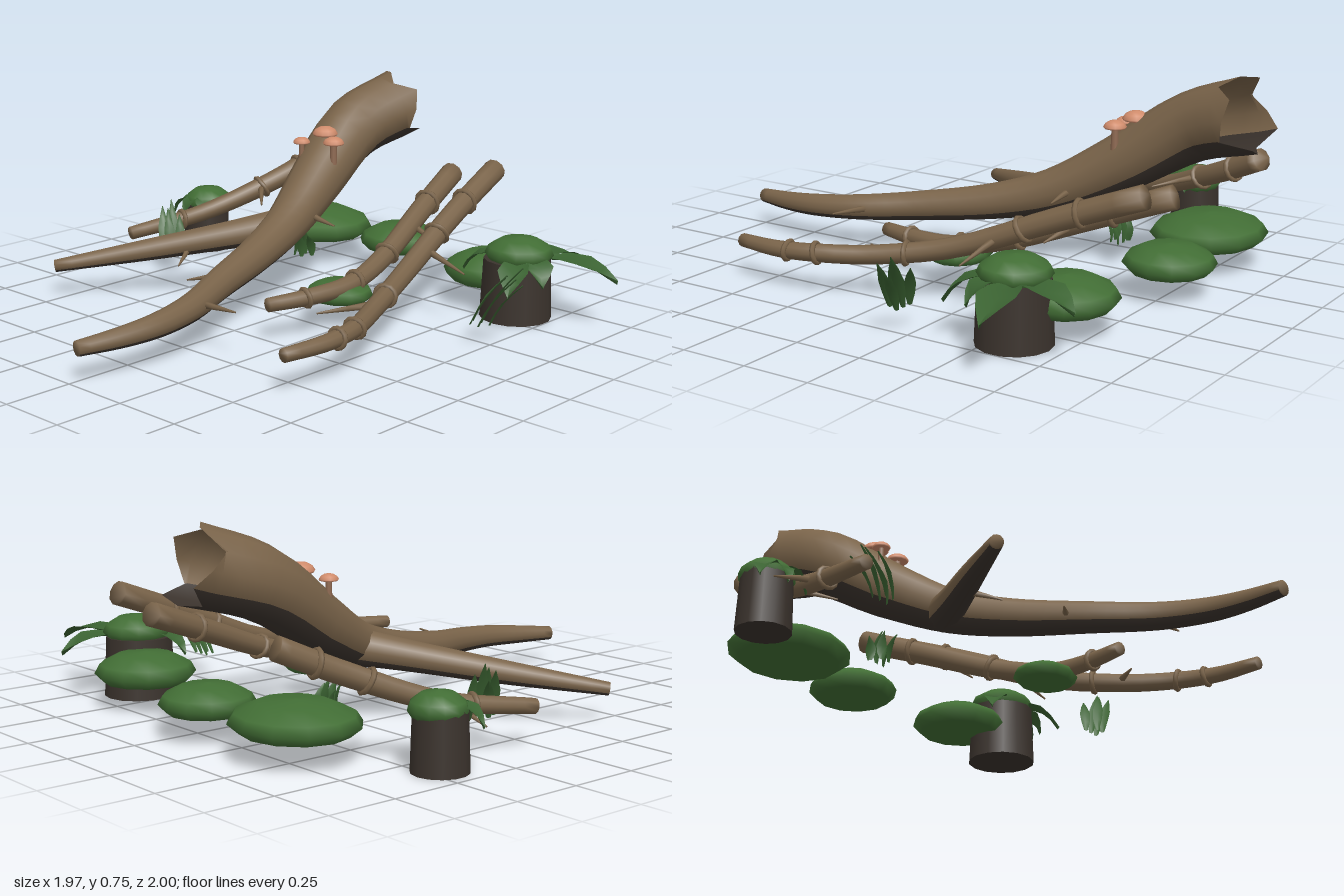
import * as THREE from 'three';

const mat = (name, color, side = THREE.FrontSide) => {
  const m = new THREE.MeshStandardMaterial({ color, side });
  m.name = name;
  return m;
};
const V = (a) => new THREE.Vector3(a[0], a[1], a[2]);

// Tapered tube through [x, y, z, radius] points; group 1 holds the underside, cut offsets the first ring
function taper(points, { rows = 24, sides = 12, cut = null, under = false, capStart = true } = {}) {
  const curve = new THREE.CatmullRomCurve3(points.map(V), false, 'centripetal');
  const radii = new THREE.CatmullRomCurve3(points.map((p, i) => new THREE.Vector3(i, p[3], 0)));
  const pos = [], top = [], low = [];
  const up = new THREE.Vector3(0, 1, 0);
  for (let i = 0; i <= rows; i++) {
    const t = i / rows, c = curve.getPoint(t), d = curve.getTangent(t);
    const r = radii.getPoint(t).y;
    const side = new THREE.Vector3().crossVectors(d, up).normalize();
    const lift = new THREE.Vector3().crossVectors(side, d);
    for (let j = 0; j < sides; j++) {
      const a = (j / sides) * Math.PI * 2;
      const p = c.clone().addScaledVector(side, Math.cos(a) * r).addScaledVector(lift, Math.sin(a) * r);
      if (cut && i === 0) p.addScaledVector(d, cut[j % cut.length]);
      pos.push(p.x, p.y, p.z);
    }
  }
  for (let i = 0; i < rows; i++) for (let j = 0; j < sides; j++) {
    const k = (j + 1) % sides, a = i * sides + j, b = i * sides + k, c = a + sides, d = b + sides;
    const dark = under && Math.sin(((j + 0.5) / sides) * Math.PI * 2) < -0.4;
    (dark ? low : top).push(a, b, c, b, d, c);
  }
  // End caps
  for (let j = 1; j < sides - 1; j++) {
    const e = rows * sides;
    top.push(e, e + j, e + j + 1);
    if (capStart) top.push(0, j + 1, j);
  }
  const g = new THREE.BufferGeometry();
  g.setAttribute('position', new THREE.Float32BufferAttribute(pos, 3));
  g.setIndex([...top, ...low]);
  g.addGroup(0, top.length, 0);
  g.addGroup(top.length, low.length, 1);
  g.computeVertexNormals();
  return { geometry: g, curve, radii };
}

// Pointed folded leaf from base to tip, arched upward in the middle
function leafGeometry(base, tip, width, arch) {
  const a = V(base), b = V(tip), dir = b.clone().sub(a).normalize();
  const side = new THREE.Vector3().crossVectors(dir, new THREE.Vector3(0, 1, 0));
  if (side.length() < 0.1) side.set(1, 0, 0);
  side.normalize();
  const lift = new THREE.Vector3().crossVectors(side, dir).normalize();
  const widths = [0.4, 0.85, 1, 0.6, 0.02], pos = [], idx = [];
  widths.forEach((w, i) => {
    const t = i / (widths.length - 1);
    const c = a.clone().lerp(b, t).addScaledVector(lift, arch * Math.sin(t * Math.PI));
    for (const s of [-1, 0, 1]) {
      const p = c.clone().addScaledVector(side, (s * w * width) / 2).addScaledVector(lift, s ? 0 : -0.12 * width);
      pos.push(p.x, p.y, p.z);
    }
    if (i) for (const s of [0, 1]) {
      const q = (i - 1) * 3 + s;
      idx.push(q, q + 1, q + 3, q + 1, q + 4, q + 3);
    }
  });
  const g = new THREE.BufferGeometry();
  g.setAttribute('position', new THREE.Float32BufferAttribute(pos, 3));
  g.setIndex(idx);
  g.computeVertexNormals();
  return g;
}

export function createModel() {
  const root = new THREE.Group();
  const bark = mat('bark', 0x7a644a, THREE.DoubleSide);
  const dark = mat('dark bark', 0x3b332d, THREE.DoubleSide);
  const green = mat('moss green', 0x426e35);
  const leaf = mat('leaf green', 0x3b6332, THREE.DoubleSide);
  const cap = mat('mushroom cap', 0xd08c6c);
  const stem = mat('mushroom stem', 0x8f6a52);
  const add = (name, geo, material, parent = root) => {
    const m = new THREE.Mesh(geo, material);
    m.name = name;
    parent.add(m);
    return m;
  };

  // Fallen trunk with a hollow ragged end, and its side branch
  const trunk = taper([
    [-0.26, 0.625, -0.95, 0.135], [-0.30, 0.55, -0.72, 0.125], [-0.255, 0.385, -0.45, 0.105],
    [-0.19, 0.27, -0.22, 0.082], [-0.13, 0.21, 0, 0.068], [-0.045, 0.17, 0.28, 0.056],
    [0.04, 0.15, 0.5, 0.049], [0.07, 0.138, 0.68, 0.043], [0.055, 0.128, 0.83, 0.036], [0.02, 0.12, 0.98, 0.027],
  ], { rows: 36, cut: [0.02, 0.06, -0.03, 0.0, 0.05, -0.02], under: true, capStart: false });
  add('trunk', trunk.geometry, [bark, dark]);
  const branch = taper([
    [-0.19, 0.265, -0.25, 0.068], [-0.34, 0.225, -0.08, 0.055],
    [-0.56, 0.17, 0.16, 0.042], [-0.79, 0.115, 0.42, 0.024],
  ], { rows: 16, under: true });
  add('branch', branch.geometry, [bark, dark]);

  // Three thin logs with knot rings
  const logs = [
    { path: [[-0.58, 0.395, -0.86, 0.042], [-0.645, 0.3, -0.65, 0.04], [-0.77, 0.19, -0.36, 0.034], [-0.87, 0.14, -0.03, 0.026]],
      knots: [0.2, 0.42, 0.78] },
    { path: [[0.095, 0.405, -0.86, 0.043], [0.15, 0.31, -0.6, 0.041], [0.22, 0.2, -0.3, 0.037],
      [0.25, 0.15, -0.08, 0.034], [0.225, 0.14, 0.1, 0.03], [0.175, 0.135, 0.26, 0.025]],
      knots: [0.16, 0.38, 0.57, 0.82] },
    { path: [[0.3, 0.45, -0.86, 0.043], [0.34, 0.335, -0.55, 0.041], [0.405, 0.2, -0.2, 0.037],
      [0.5, 0.15, 0.08, 0.034], [0.58, 0.145, 0.27, 0.032], [0.6, 0.14, 0.42, 0.029], [0.575, 0.135, 0.6, 0.024]],
      knots: [0.12, 0.22, 0.43, 0.66, 0.78] },
  ];
  for (const { path, knots } of logs) {
    const group = new THREE.Group();
    group.name = 'log';
    root.add(group);
    const log = taper(path, { rows: 20, sides: 10 });
    add('logStem', log.geometry, bark, group);
    knots.forEach((t, i) => {
      const ring = add('knotRing', new THREE.TorusGeometry(log.radii.getPoint(t).y + 0.002, 0.01, 6, 12), bark, group);
      ring.position.copy(log.curve.getPoint(t));
      ring.lookAt(ring.position.clone().add(log.curve.getTangent(t)));
      ring.rotateX(i % 2 ? 0.15 : -0.15);
    });
  }

  // Twigs: base and tip
  const twigs = [
    [[-0.15, 0.29, -0.31], [-0.03, 0.27, -0.31]], [[-0.09, 0.18, 0.21], [-0.21, 0.15, 0.28]],
    [[0.05, 0.155, 0.45], [0.23, 0.17, 0.47]], [[-0.45, 0.18, 0.04], [-0.39, 0.14, 0.155]],
    [[-0.66, 0.27, -0.56], [-0.54, 0.24, -0.44]], [[-0.79, 0.19, -0.33], [-0.96, 0.14, -0.34]],
    [[0.18, 0.27, -0.52], [0.31, 0.24, -0.49]], [[0.38, 0.25, -0.35], [0.57, 0.2, -0.33]],
    [[0.48, 0.16, 0.08], [0.35, 0.13, 0.2]],
  ];
  for (const [a, b] of twigs)
    add('twig', taper([[...a, 0.014], [...b, 0.003]], { rows: 2, sides: 6 }).geometry, bark);

  // Moss mounds: [x, z, radiusX, radiusZ, height]
  const mound = new THREE.LatheGeometry([[0, 0], [0.82, 0], [1, 0.3], [0.9, 0.6], [0.55, 0.9], [0, 1]]
    .map(([r, y]) => new THREE.Vector2(r, y)), 12);
  const addMound = (name, x, y, z, rx, h, rz) => {
    const m = add(name, mound, green);
    m.position.set(x, y, z);
    m.scale.set(rx, h, rz);
  };
  for (const [x, z, rx, rz, h] of [
    [-0.48, -0.71, 0.235, 0.21, 0.11], [-0.075, -0.76, 0.165, 0.165, 0.1],
    [0.45, -0.66, 0.185, 0.18, 0.11], [0.205, -0.08, 0.125, 0.115, 0.07],
  ]) addMound('mossMound', x, 0.09, z, rx, h, rz);

  // Stumps with moss caps
  for (const [x, z, r, h, capR, top] of [[-0.875, -0.455, 0.095, 0.2, 0.098, 0.26], [0.62, -0.575, 0.13, 0.22, 0.125, 0.3]]) {
    add('stump', new THREE.CylinderGeometry(r * 0.93, r, h, 14), dark).position.set(x, h / 2, z);
    addMound('stumpMoss', x + 0.005, top - 0.09, z - 0.005, capR, 0.09, capR);
  }

  // Drooping leaves on the stumps: base, tip, width
  for (const [a, b, w] of [
    [[0.67, 0.23, -0.64], [0.71, 0.18, -0.85], 0.13], [[0.71, 0.235, -0.63], [0.98, 0.185, -0.68], 0.13],
    [[0.67, 0.24, -0.52], [0.73, 0.14, -0.37], 0.11], [[0.56, 0.24, -0.54], [0.44, 0.17, -0.49], 0.09],
    [[0.7, 0.24, -0.56], [0.79, 0.16, -0.5], 0.1],
    [[-0.89, 0.22, -0.42], [-0.99, 0.15, -0.375], 0.08], [[-0.88, 0.23, -0.42], [-0.89, 0.15, -0.34], 0.07],
    [[-0.86, 0.23, -0.42], [-0.78, 0.15, -0.36], 0.08], [[-0.83, 0.22, -0.46], [-0.77, 0.17, -0.46], 0.07],
  ]) add('leaf', leafGeometry(a, b, w, 0.03), leaf);

  // Grass tufts: base, lean direction, height
  const tufts = [
    [[-0.7, 0.09, -0.09], [-0.06, -0.04], 0.19],
    [[0.73, 0.085, -0.2], [0.13, -0.05], 0.21],
    [[-0.31, 0.08, -0.43], [0.0, 0.02], 0.12],
  ];
  for (const [[x, y, z], [dx, dz], h] of tufts) {
    const group = new THREE.Group();
    group.name = 'grassTuft';
    root.add(group);
    for (let i = 0; i < 5; i++) {
      const s = i - 2, f = 1 - 0.13 * Math.abs(s);
      const bx = x + s * 0.018, bz = z + (i % 2 ? 0.02 : -0.02);
      add('blade', leafGeometry([bx, y, bz], [bx + dx * f + s * 0.006, y + h * f, bz + dz + s * 0.008], 0.04, 0.012), leaf, group);
    }
  }

  // Mushrooms on the trunk: x, top y, z, cap radius
  const capShape = new THREE.LatheGeometry([[0, 0], [0.9, 0], [1, 0.15], [0.8, 0.45], [0.45, 0.65], [0, 0.72]]
    .map(([r, y]) => new THREE.Vector2(r, y)), 12);
  for (const [x, y, z, r] of [[-0.265, 0.59, -0.515, 0.05], [-0.32, 0.55, -0.44, 0.034], [-0.185, 0.565, -0.475, 0.042]]) {
    const c = add('mushroomCap', capShape, cap);
    c.position.set(x, y - r * 0.72, z);
    c.scale.setScalar(r);
    add('mushroomStem', new THREE.CylinderGeometry(r * 0.3, r * 0.36, 0.09, 8), stem).position.set(x, y - r * 0.72 - 0.04, z);
  }
  return root;
}
